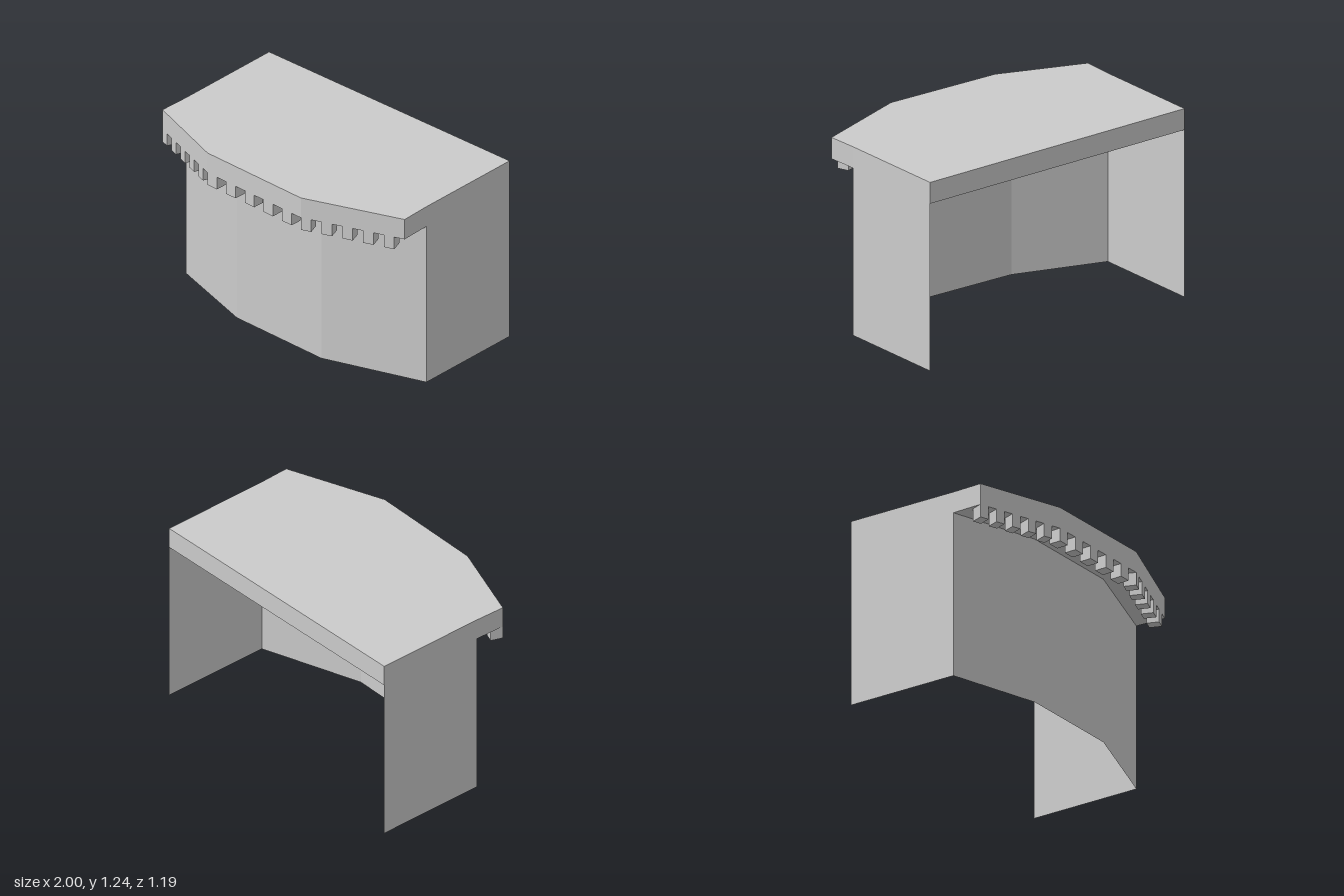
import * as THREE from 'three';

const TOP = 1.24, EAVE = 1.1, TOOTH_BOTTOM = 1.015;
const BACK = -0.597, SIDE = 0.993;

// Plan outlines [x, z], running from the model's right to its left
const canopyFront = [[-1, 0.366], [-0.44, 0.573], [0.352, 0.597], [1, 0.366]];
const wallFront = [[-SIDE, 0.16], [-0.395, 0.355], [0.32, 0.375], [SIDE, 0.16]];
const backRight = [-SIDE, BACK], backLeft = [SIDE, BACK];

const material = new THREE.MeshStandardMaterial({
  color: 0xcccccc, flatShading: true, side: THREE.DoubleSide,
});

function add(group, name, geometry) {
  const mesh = new THREE.Mesh(geometry, material);
  mesh.name = name;
  group.add(mesh);
  return mesh;
}

// Thin upright strip following a plan line
function strip(points, y0, y1) {
  const pos = [];
  for (let i = 0; i < points.length - 1; i++) {
    const [ax, az] = points[i], [bx, bz] = points[i + 1];
    pos.push(ax, y0, az, bx, y0, bz, bx, y1, bz);
    pos.push(ax, y0, az, bx, y1, bz, ax, y1, az);
  }
  const g = new THREE.BufferGeometry();
  g.setAttribute('position', new THREE.Float32BufferAttribute(pos, 3));
  g.computeVertexNormals();
  return g;
}

// Thin level sheet filling a plan outline
function sheet(points, y) {
  const shape = new THREE.Shape(points.map(([x, z]) => new THREE.Vector2(x, -z)));
  return new THREE.ShapeGeometry(shape).rotateX(-Math.PI / 2).translate(0, y, 0);
}

export function createModel() {
  const model = new THREE.Group();
  model.name = 'counter';

  // Hollow body, open at the bottom and behind
  add(model, 'frontPanels', strip(wallFront, 0, EAVE));
  add(model, 'rightSide', strip([backRight, wallFront[0]], 0, TOP));
  add(model, 'leftSide', strip([wallFront[3], backLeft], 0, TOP));

  // Overhanging top with its faceted band and underside
  add(model, 'top', sheet([backRight, wallFront[0], ...canopyFront, wallFront[3], backLeft], TOP));
  add(model, 'frontBand', strip([wallFront[0], ...canopyFront, wallFront[3]], EAVE, TOP));
  add(model, 'backBand', strip([backLeft, backRight], EAVE, TOP));
  add(model, 'overhangUnderside', sheet([...canopyFront, ...[...wallFront].reverse()], EAVE));

  // Row of square teeth under the band: five to each facet
  const teeth = new THREE.Group();
  teeth.name = 'teeth';
  model.add(teeth);
  const count = 5, depth = 0.08, height = EAVE - TOOTH_BOTTOM;
  for (let f = 0; f < 3; f++) {
    const [ax, az] = canopyFront[f], [bx, bz] = canopyFront[f + 1];
    const length = Math.hypot(bx - ax, bz - az);
    const facet = new THREE.Group();
    facet.name = 'toothRow';
    facet.position.set(ax, TOOTH_BOTTOM + height / 2, az);
    facet.rotation.y = -Math.atan2(bz - az, bx - ax);
    teeth.add(facet);
    const pitch = length / count;
    for (let i = 0; i < count; i++) {
      const tooth = add(facet, 'tooth', new THREE.BoxGeometry(pitch / 2, height, depth));
      tooth.position.set((i + 0.25) * pitch, 0, -depth / 2);
    }
  }
  return model;
}
